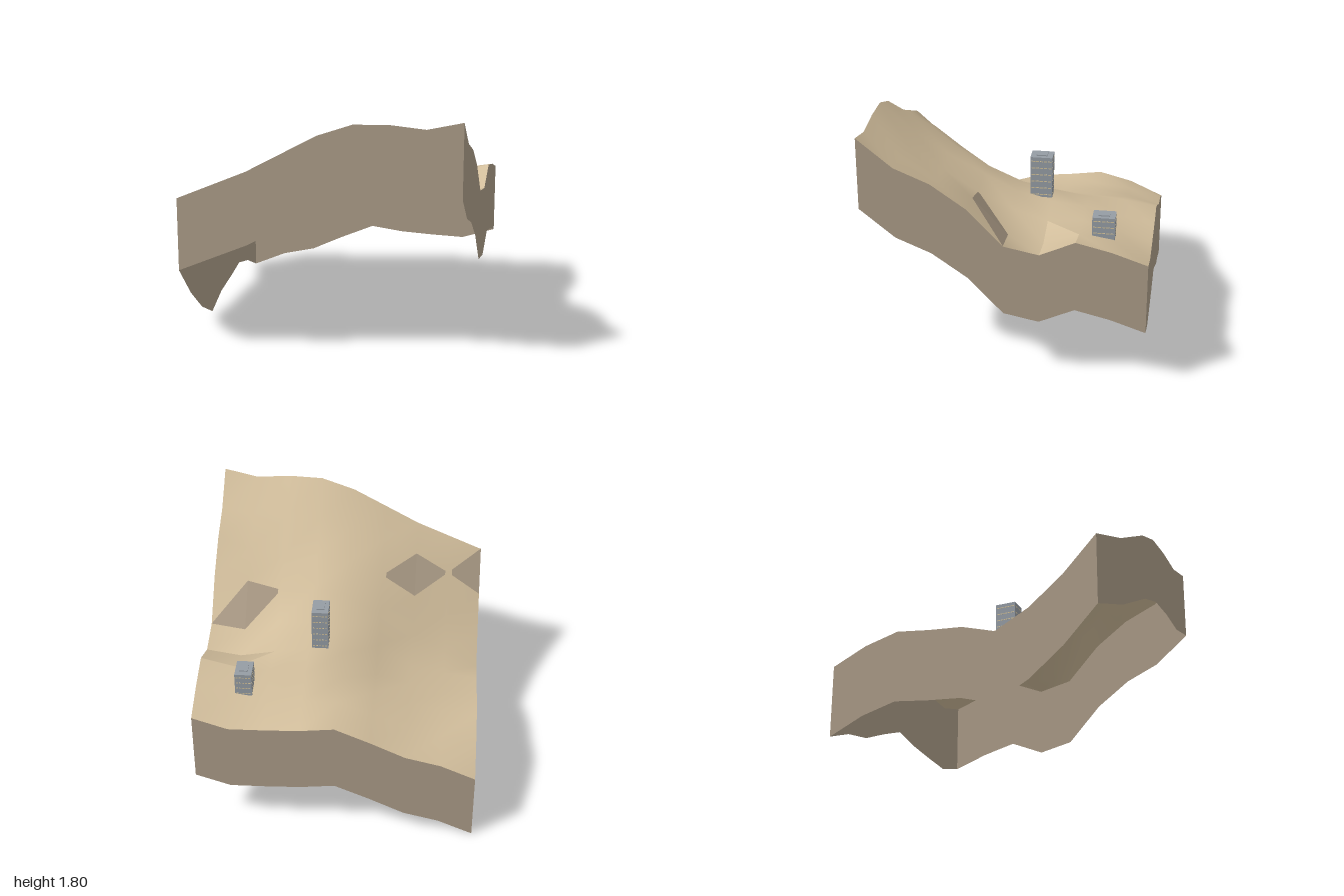
import * as THREE from 'three';

const mat = (name, color, side = THREE.FrontSide) => {
  const m = new THREE.MeshStandardMaterial({ color, side });
  m.name = name;
  return m;
};

const makeGeometry = (positions, index) => {
  const g = new THREE.BufferGeometry();
  g.setAttribute('position', new THREE.Float32BufferAttribute(positions, 3));
  if (index) g.setIndex(index);
  g.computeVertexNormals();
  return g;
};

// Ground heights: rows run from back (z = -1) to front (z = 1), columns from x = -1 to 1
const HEIGHTS = [
  [0.53, 0.64, 0.70, 0.82, 0.93, 0.90, 0.89, 0.885, 0.97],
  [0.645, 0.70, 0.77, 0.87, 0.97, 0.96, 0.97, 1.01, 1.055],
  [0.71, 0.73, 0.80, 0.87, 0.98, 1.02, 1.03, 1.05, 1.115],
  [0.675, 0.69, 0.77, 0.84, 1.02, 1.045, 1.01, 0.96, 1.00],
  [0.65, 0.69, 0.74, 0.92, 1.07, 1.11, 1.09, 1.01, 1.05],
  [0.57, 0.72, 0.85, 1.03, 1.18, 1.24, 1.21, 1.28, 1.315],
  [0.70, 0.85, 1.03, 1.21, 1.33, 1.37, 1.37, 1.40, 1.49],
  [0.90, 1.09, 1.255, 1.38, 1.48, 1.54, 1.55, 1.56, 1.595],
  [1.16, 1.27, 1.38, 1.52, 1.66, 1.75, 1.76, 1.74, 1.80],
];
const N = 8, SKIRT = 0.53;
const point = (i, j) => [-1 + i * 0.25, HEIGHTS[j][i], -1 + j * 0.25];

// Sharp bank triangles, named column,row,half
const BANK = ['6,2,1', '7,2,0', '7,2,1'];

// Rock triangles on the slope: pointed corner, next, previous (grid column,row) and blunting of the corner
const ROCKS = [
  [[6, 5], [7, 5], [7, 4], 0.09],
  [[8, 4], [7, 4], [7, 5], 0],
  [[1, 7], [2, 7], [2, 6], 0.09],
  [[3, 6], [2, 6], [2, 7], 0.11],
  [[1, 7], [0, 7], [0, 8], 0.12],
];

export function createModel() {
  const sand = mat('sand', 0xd3bf9d, THREE.DoubleSide);
  const rock = mat('rock', 0xaa9b87, THREE.DoubleSide);
  const rockPatch = mat('rockPatch', 0xad9d88);
  const concrete = mat('concrete', 0x959ca4);
  const paleWindow = mat('paleWindow', 0xd0c09a);

  const model = new THREE.Group();
  model.name = 'hillsideWithTowers';
  const add = (name, geometry, material, parent = model) => {
    const mesh = new THREE.Mesh(geometry, material);
    mesh.name = name;
    parent.add(mesh);
    return mesh;
  };

  // Rolling ground and the bank that breaks from it with a sharp edge
  const positions = [], groundIndex = [], bankIndex = [];
  for (let j = 0; j <= N; j++) for (let i = 0; i <= N; i++) positions.push(...point(i, j));
  for (let j = 0; j < N; j++) {
    for (let i = 0; i < N; i++) {
      const a = j * (N + 1) + i, b = a + 1, c = a + N + 1, d = c + 1;
      [[a, c, b], [b, c, d]].forEach((tri, half) => {
        (BANK.includes(`${i},${j},${half}`) ? bankIndex : groundIndex).push(...tri);
      });
    }
  }
  add('ground', makeGeometry(positions, groundIndex), sand);
  add('bank', makeGeometry(positions, bankIndex), sand);

  // Rock patches lying just above the ground
  const rockPos = [];
  for (const [corner, next, prev, cut] of ROCKS) {
    const [c, n, p] = [corner, next, prev].map((g) => new THREE.Vector3(...point(...g)));
    const toNext = c.clone().lerp(n, cut), toPrev = c.clone().lerp(p, cut);
    for (const v of [toPrev, toNext, n, toPrev, n, p]) rockPos.push(v.x, v.y + 0.003, v.z);
  }
  add('rockPatches', makeGeometry(rockPos), rockPatch);

  // Cut sides that follow the ground edge, open below
  const sides = {
    frontSide: (k) => point(k, N),
    rightSide: (k) => point(N, N - k),
    backSide: (k) => point(N - k, 0),
    leftSide: (k) => point(0, k),
  };
  for (const [name, edge] of Object.entries(sides)) {
    const pos = [], index = [];
    for (let k = 0; k <= N; k++) {
      const [x, y, z] = edge(k);
      pos.push(x, y, z, x, y - SKIRT, z);
      if (k < N) index.push(2 * k, 2 * k + 1, 2 * k + 2, 2 * k + 2, 2 * k + 1, 2 * k + 3);
    }
    add(name, makeGeometry(pos, index), rock);
  }

  // Tower blocks: plain walls, a row of slim pale windows on each floor, a flat roof housing
  const W = 0.12, D = 0.16;
  const tower = (name, x, z, base, top, floors) => {
    const group = new THREE.Group();
    group.name = name;
    group.position.set(x, base, z);
    model.add(group);
    const box = (part, w, h, d, px, py, pz, m) =>
      add(part, new THREE.BoxGeometry(w, h, d), m, group).position.set(px, py, pz);
    const height = top - base, step = height / floors;
    box('body', W, height, D, 0, height / 2, 0, concrete);
    for (let f = 0; f < floors; f++) {
      const y = (f + 0.4) * step;
      for (const s of [-1, 1]) {
        for (let k = -2; k <= 2; k++) {
          box('endWindow', 0.015, 0.007, 0.002, k * 0.022, y, s * D / 2, paleWindow);
          box('sideWindow', 0.002, 0.007, 0.024, s * W / 2, y, k * 0.03, paleWindow);
        }
      }
    }
    box('roofHousing', W * 0.5, 0.008, D * 0.5, 0, height + 0.004, 0, concrete);
  };
  tower('tallTower', 0.163, -0.167, 1.06, 1.375, 6);
  tower('shortTower', 0.663, -0.667, 0.99, 1.173, 4);

  return model;
}
